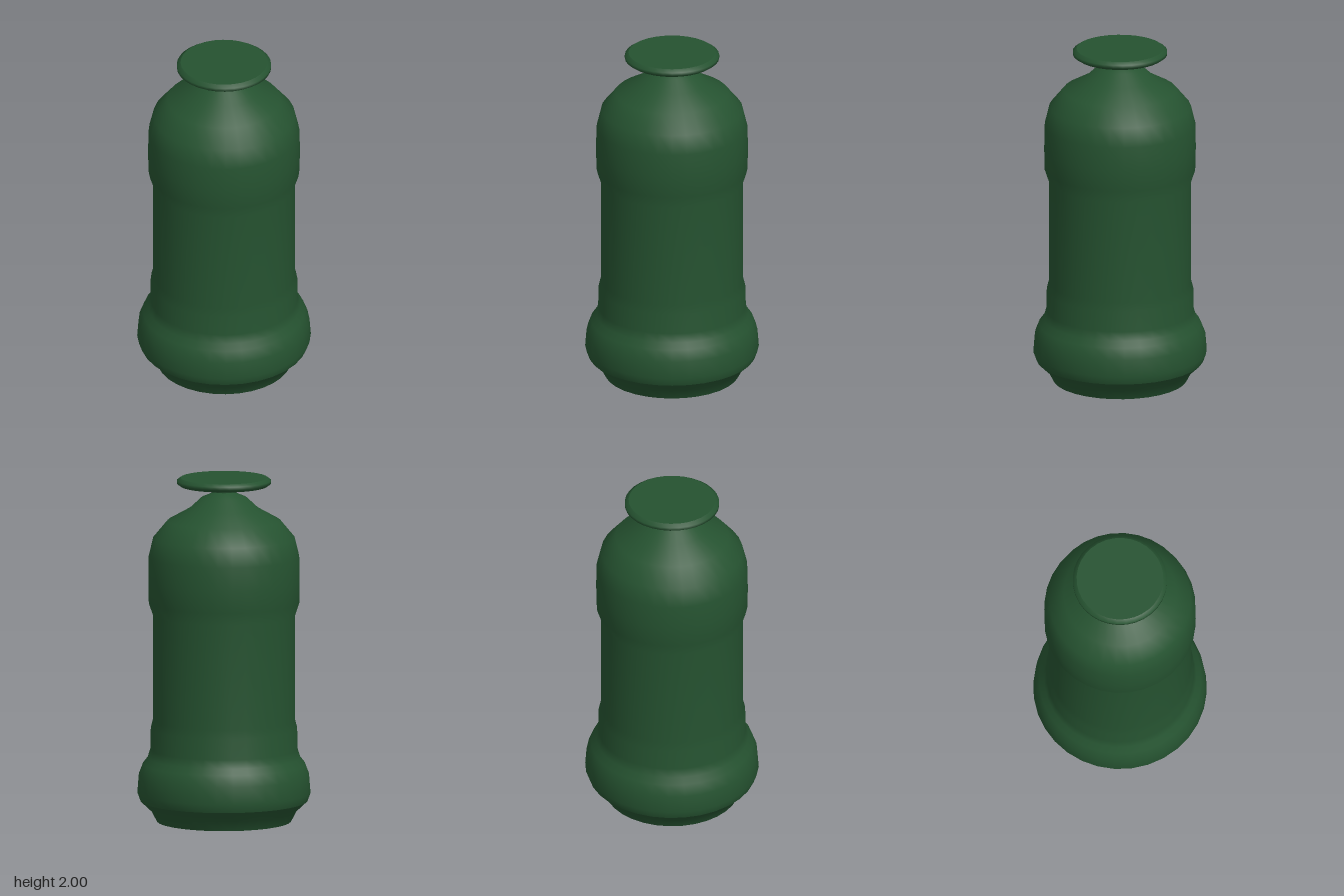
import * as THREE from 'three';

const SEGMENTS = 32;

export function createModel() {
  const group = new THREE.Group();
  group.name = 'bottle';
  const green = new THREE.MeshStandardMaterial({ color: 0x255230 });
  green.name = 'bottle green';

  // Smooth band turned from [radius, height] points; separate bands meet in a sharp edge.
  // Points run from the axis underneath, outwards and up to the axis on top.
  function turn(name, points) {
    const profile = points.map(([r, y]) => new THREE.Vector2(r, y));
    const mesh = new THREE.Mesh(new THREE.LatheGeometry(profile, SEGMENTS), green);
    mesh.name = name;
    group.add(mesh);
  }

  // Hollow underside: central dimple, bulging floor, foot ring
  turn('dimpleTop', [[0, 0.085], [0.045, 0.085]]);
  turn('dimpleWall', [[0.045, 0.085], [0.07, 0.045]]);
  turn('hollowFloor', [[0.07, 0.045], [0.12, 0.047], [0.18, 0.06], [0.24, 0.09], [0.285, 0.1]]);
  turn('hollowWall', [[0.285, 0.1], [0.32, 0]]);
  turn('footRing', [[0.32, 0], [0.387, 0]]);
  turn('foot', [[0.387, 0], [0.418, 0.06], [0.482, 0.12]]);

  // Rounded base, straight barrel, raised collar and domed shoulder
  turn('body', [
    [0.482, 0.12], [0.5, 0.17], [0.492, 0.27], [0.467, 0.335], [0.44, 0.37],
    [0.425, 0.42], [0.423, 0.54], [0.41, 0.59], [0.41, 1.2], [0.435, 1.275],
    [0.437, 1.4], [0.435, 1.54], [0.408, 1.65], [0.325, 1.75], [0.2, 1.82],
    [0.13, 1.885], [0.055, 1.917],
  ]);

  // Narrow neck carrying a flat disc cap
  turn('neck', [[0.055, 1.915], [0.055, 1.953]]);
  turn('capUnderside', [[0.055, 1.952], [0.25, 1.952]]);
  turn('capRim', [[0.25, 1.952], [0.272, 1.967], [0.272, 1.985], [0.25, 2]]);
  turn('capTop', [[0.25, 2], [0, 2]]);

  return group;
}
